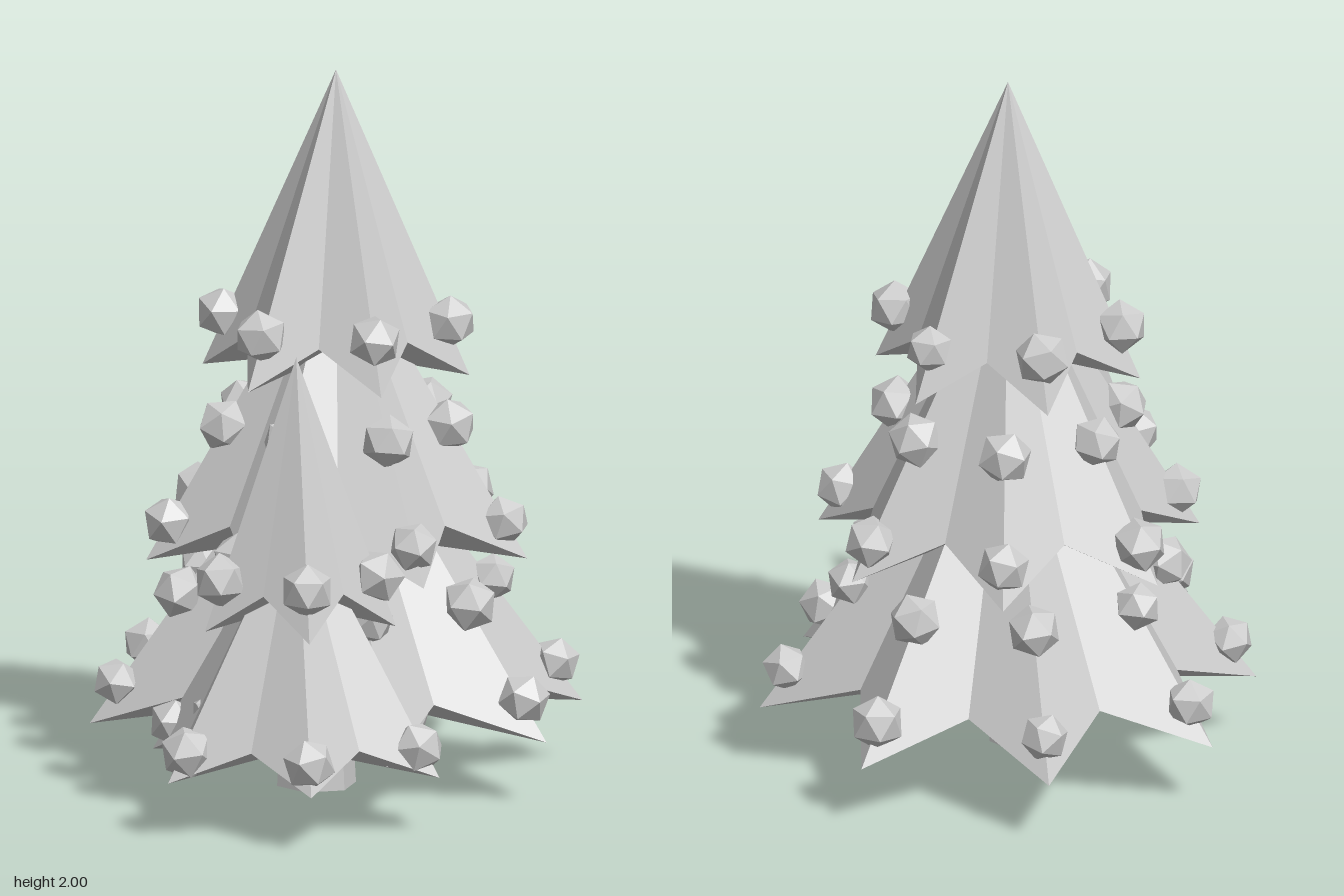
import * as THREE from 'three';

const clay = new THREE.MeshStandardMaterial({ color: 0xcccccc, flatShading: true });
clay.name = 'lightGrey';

// Seeded random numbers for the bauble sizes and turns
let seed = 7;
const rand = () => (seed = (seed * 16807) % 2147483647) / 2147483647;

// Star-shaped cone: low outer tips alternate with higher inner valleys
function starCone({ tips, start, apex, tipR, tipY, valleyR, valleyY, baseY }) {
  const ring = [];
  for (let i = 0; i < tips * 2; i++) {
    const a = THREE.MathUtils.degToRad(start + (i * 180) / tips);
    const r = i % 2 ? valleyR : tipR;
    ring.push(new THREE.Vector3(Math.cos(a) * r, i % 2 ? valleyY : tipY, Math.sin(a) * r));
  }
  const top = new THREE.Vector3(0, apex, 0);
  const base = new THREE.Vector3(0, baseY, 0);
  const points = [];
  ring.forEach((p, i) => {
    const q = ring[(i + 1) % ring.length];
    points.push(top, q, p, base, p, q);
  });
  const geo = new THREE.BufferGeometry().setFromPoints(points);
  geo.computeVertexNormals();
  return geo;
}

// One tree: tiers of branches with rows of baubles along the ridges
function makeTree(name, x, z, tiers) {
  const tree = new THREE.Group();
  tree.name = name;
  tree.position.set(x, 0, z);
  tiers.forEach((tier, t) => {
    const branches = new THREE.Mesh(starCone(tier), clay);
    branches.name = `branchTier${t + 1}`;
    tree.add(branches);
    for (const [r, y] of tier.rows) {
      for (let i = 0; i < tier.tips; i++) {
        const a = THREE.MathUtils.degToRad(tier.start + (i * 360) / tier.tips);
        const bauble = new THREE.Mesh(new THREE.IcosahedronGeometry(0.067 + rand() * 0.012, 0), clay);
        bauble.name = 'bauble';
        bauble.position.set(Math.cos(a) * r, y, Math.sin(a) * r);
        bauble.rotation.set(rand() * 0.5, rand() * 6, rand() * 0.5);
        tree.add(bauble);
      }
    }
  });
  return tree;
}

export function createModel() {
  const model = new THREE.Group();
  model.name = 'decoratedTrees';

  // Six-sided tapering trunk
  const trunk = new THREE.Mesh(new THREE.CylinderGeometry(0.085, 0.112, 0.5, 6), clay);
  trunk.name = 'trunk';
  trunk.position.set(-0.012, 0.25, 0);
  model.add(trunk);

  // Tall tree with three tiers
  model.add(makeTree('tallTree', 0.1, -0.04, [
    { tips: 6, start: -6, apex: 2, tipR: 0.375, tipY: 1.15, valleyR: 0.26, valleyY: 1.265, baseY: 1.2,
      rows: [[0.32, 1.3]] },
    { tips: 7, start: 4, apex: 1.55, tipR: 0.54, tipY: 0.64, valleyR: 0.38, valleyY: 0.76, baseY: 0.69,
      rows: [[0.32, 1.01], [0.475, 0.745]] },
    { tips: 8, start: -13.3, apex: 1.13, tipR: 0.695, tipY: 0.18, valleyR: 0.48, valleyY: 0.29, baseY: 0.23,
      rows: [[0.44, 0.54], [0.62, 0.295]] },
  ]));

  // Small tree with two tiers
  model.add(makeTree('smallTree', -0.355, 0.28, [
    { tips: 5, start: 54, apex: 1.31, tipR: 0.28, tipY: 0.56, valleyR: 0.19, valleyY: 0.67, baseY: 0.61,
      rows: [[0.23, 0.7]] },
    { tips: 6, start: 8, apex: 0.9, tipR: 0.435, tipY: 0.16, valleyR: 0.3, valleyY: 0.25, baseY: 0.2,
      rows: [[0.37, 0.24]] },
  ]));

  return model;
}
